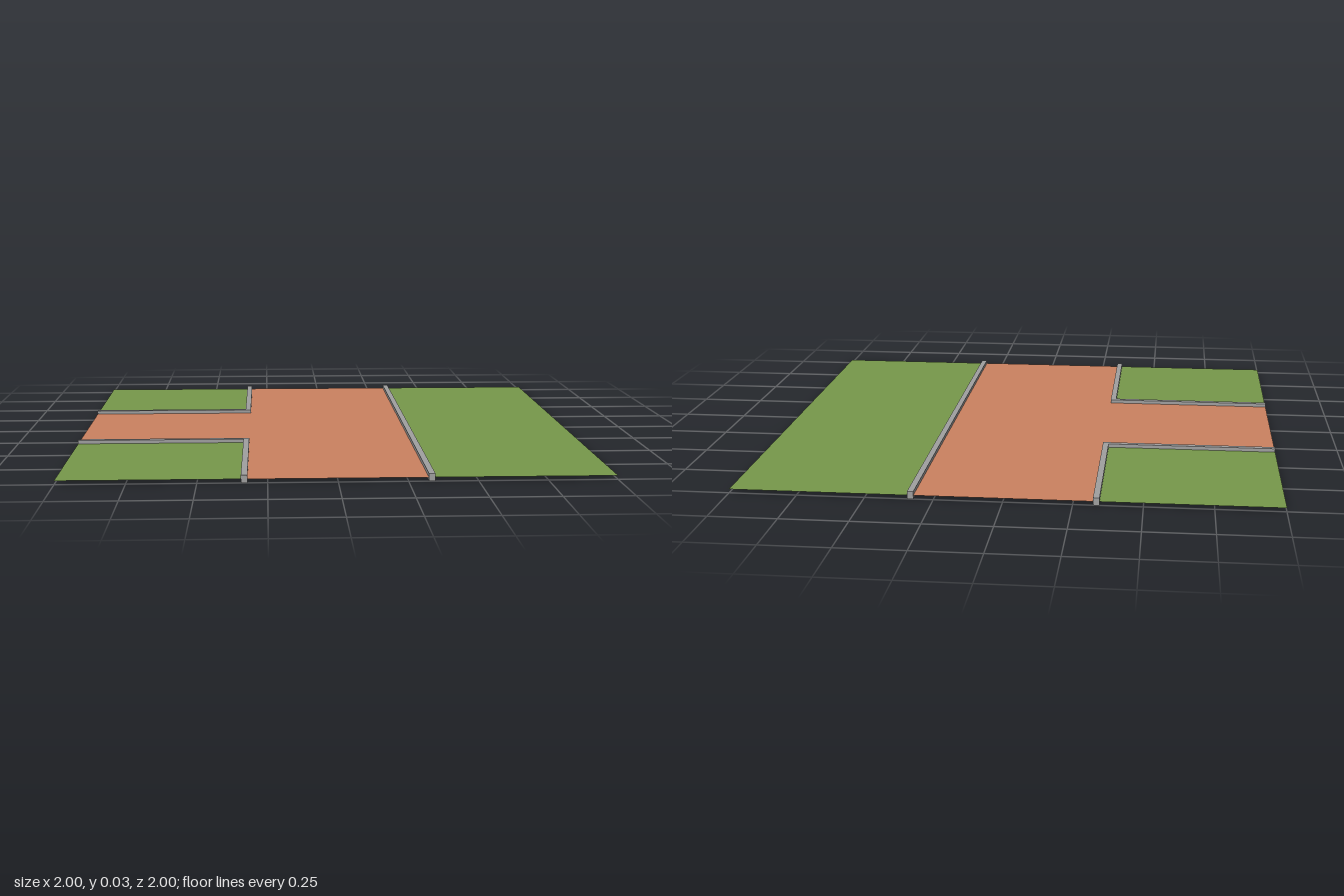
import * as THREE from 'three';

const IN = 0.322;      // road-side edge of the kerbs
const OUT = 0.345;     // lawn-side edge of the kerbs
const MID = (IN + OUT) / 2;
const KERB_H = 0.028;
const GROUND_Y = 0.014; // ground sheets meet the kerbs at half height

// Shape from [x, z] pairs, laid flat after rotation
function outline(points) {
  return new THREE.Shape(points.map(([x, z]) => new THREE.Vector2(x, -z)));
}

export function createModel() {
  const model = new THREE.Group();
  const grass = new THREE.MeshStandardMaterial({ name: 'grassGreen', color: 0x76984a, side: THREE.DoubleSide });
  const paving = new THREE.MeshStandardMaterial({ name: 'clayOrange', color: 0xcb8160, side: THREE.DoubleSide });
  const stone = new THREE.MeshStandardMaterial({ name: 'kerbGrey', color: 0xa0a0a0 });

  function add(name, geometry, material, y) {
    geometry.rotateX(-Math.PI / 2);
    const mesh = new THREE.Mesh(geometry, material);
    mesh.name = name;
    mesh.position.y = y;
    model.add(mesh);
  }
  const sheet = (name, points, material) =>
    add(name, new THREE.ShapeGeometry(outline(points)), material, GROUND_Y);
  const kerb = (name, points) =>
    add(name, new THREE.ExtrudeGeometry(outline(points), { depth: KERB_H, bevelEnabled: false }), stone, 0);

  // T-shaped road
  sheet('road', [
    [-MID, -1], [MID, -1], [MID, 1], [-MID, 1],
    [-MID, MID], [-1, MID], [-1, -MID], [-MID, -MID],
  ], paving);

  // Straight side
  sheet('leftLawn', [[MID, -1], [1, -1], [1, 1], [MID, 1]], grass);
  kerb('straightKerb', [[IN, -1], [OUT, -1], [OUT, 1], [IN, 1]]);

  // Two corner lawns with L-shaped kerbs, mirrored front to back
  for (const [label, s] of [['front', 1], ['back', -1]]) {
    sheet(label + 'CornerLawn', [[-1, s * MID], [-MID, s * MID], [-MID, s], [-1, s]], grass);
    kerb(label + 'CornerKerb', [
      [-1, s * IN], [-IN, s * IN], [-IN, s], [-OUT, s], [-OUT, s * OUT], [-1, s * OUT],
    ]);
  }
  return model;
}
